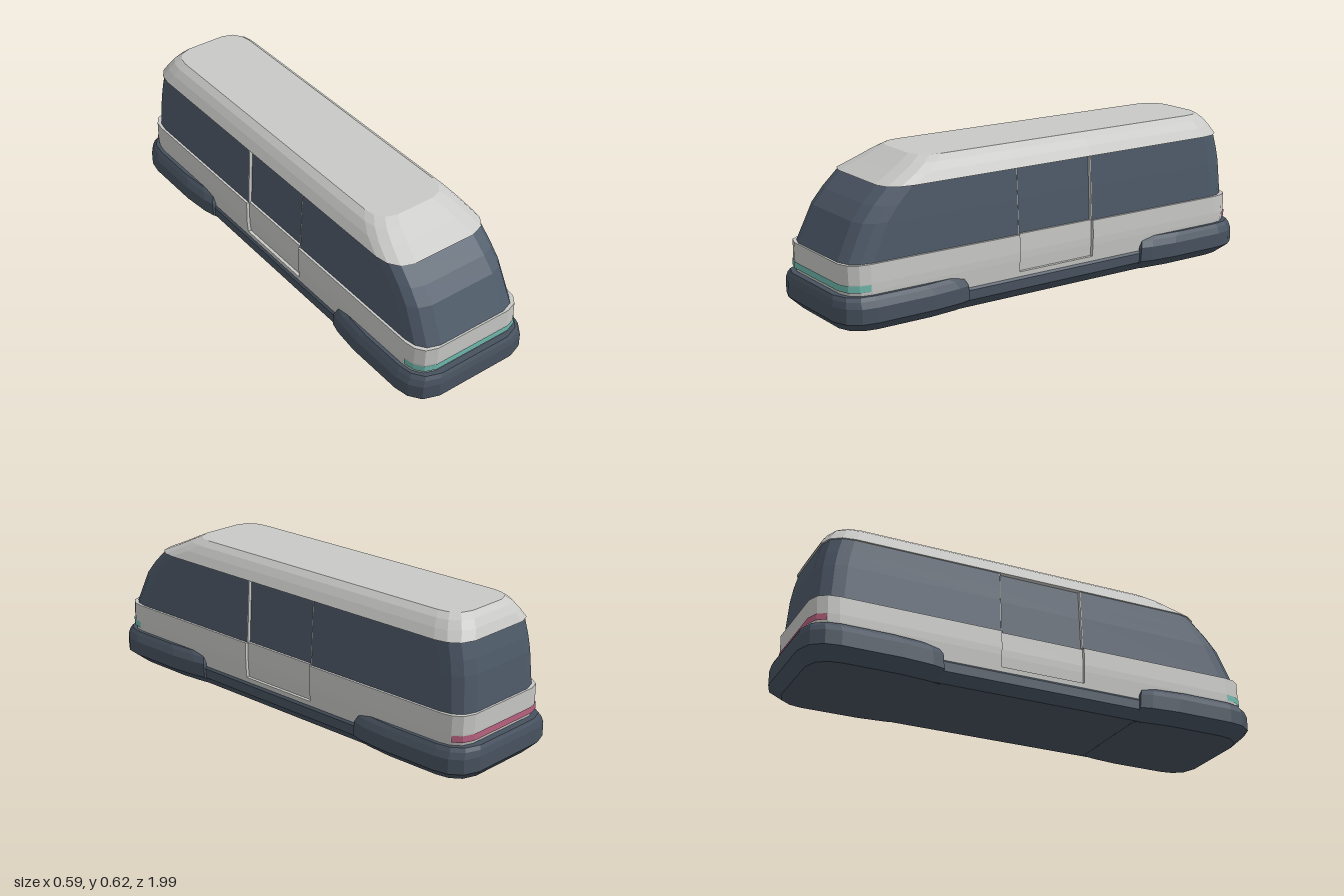
import * as THREE from 'three';

const material = (name, color, side = THREE.FrontSide) =>
  Object.assign(new THREE.MeshStandardMaterial({ color, side }), { name });

// Corner offsets from side to end, as fractions of the corner size
const CORNER = [[0, 1], [0.08, 0.55], [0.33, 0.2], [0.8, 0.03]];
const corner = (w, z, r, s = 1) => CORNER.map(([a, b]) => [w - a * r, z - s * b * r]);
const mirrorX = (pts) => pts.map(([x, z]) => [-x, z]).reverse();

// Skins a stack of horizontal outlines with flat faces
function loft(rings, { bottom = false, top = false, closed = true } = {}) {
  const pos = [];
  const tri = (...pts) => pts.forEach((p) => pos.push(...p));
  const n = rings[0].length;
  for (let k = 0; k < rings.length - 1; k++) {
    const a = rings[k], b = rings[k + 1];
    for (let i = 0; i < (closed ? n : n - 1); i++) {
      const j = (i + 1) % n;
      tri(a[i], b[i], b[j]);
      tri(a[i], b[j], a[j]);
    }
  }
  const cap = (ring, up) => {
    const zs = ring.map((p) => p[2]);
    const c = [0, ring[0][1], (Math.min(...zs) + Math.max(...zs)) / 2];
    for (let i = 0; i < n; i++) {
      const p = ring[i], q = ring[(i + 1) % n];
      if (up) tri(c, q, p); else tri(c, p, q);
    }
  };
  if (bottom) cap(rings[0], false);
  if (top) cap(rings[rings.length - 1], true);
  const g = new THREE.BufferGeometry();
  g.setAttribute('position', new THREE.Float32BufferAttribute(pos, 3));
  g.computeVertexNormals();
  return g;
}

const DOOR = 0.185, RECESS = 0.014;

// Long rounded outline with an optional doorway recess on each side
function hullRing(y, w, zf, zb, r, recess = 0) {
  const half = [
    ...corner(w, zb, r, -1).reverse(),
    [w, -DOOR], [w - recess, -DOOR], [w - recess, DOOR], [w, DOOR],
    ...corner(w, zf, r),
  ];
  return [...half, ...mirrorX(half)].map(([x, z]) => [x, y, z]);
}

// Outline of a bumper, tapering towards its inner end
function bumperRing(y, w, zEnd, zIn, r) {
  const half = [[w - 0.025, zIn], [w - 0.012, zIn + 0.05], [w, zIn + 0.17], ...corner(w, zEnd, r)];
  return [...half, ...mirrorX(half)].map(([x, z]) => [x, y, z]);
}

export function createModel() {
  const shell = material('pale grey shell', 0xc8c8c6);
  const glass = material('dark glass', 0x4e5a69);
  const trim = material('dark trim', 0x47525f);
  const teal = material('teal light', 0x6fb8ad, THREE.DoubleSide);
  const pink = material('pink light', 0xb8617f, THREE.DoubleSide);

  const group = new THREE.Group();
  group.name = 'shuttle';
  const add = (name, geometry, mat) => {
    const mesh = new THREE.Mesh(geometry, mat);
    mesh.name = name;
    group.add(mesh);
    return mesh;
  };

  // Lower body with recessed doors
  add('lowerBody', loft([
    hullRing(0.085, 0.25, 0.95, -0.945, 0.1),
    hullRing(0.11, 0.252, 0.955, -0.95, 0.1),
    hullRing(0.11, 0.252, 0.955, -0.95, 0.1, RECESS),
    hullRing(0.16, 0.256, 0.963, -0.96, 0.1, RECESS),
    hullRing(0.19, 0.257, 0.967, -0.963, 0.1, RECESS),
    hullRing(0.265, 0.255, 0.968, -0.965, 0.1, RECESS),
  ], { bottom: true, top: true }), shell);

  // Wraparound windows, raked at the front
  add('windows', loft([
    hullRing(0.26, 0.245, 0.962, -0.956, 0.11, RECESS),
    hullRing(0.41, 0.238, 0.89, -0.945, 0.11, RECESS),
    hullRing(0.47, 0.234, 0.84, -0.935, 0.11, RECESS),
    hullRing(0.537, 0.23, 0.77, -0.918, 0.11, RECESS),
  ]), glass);

  // Roof shell
  add('roof', loft([
    hullRing(0.535, 0.238, 0.78, -0.926, 0.12),
    hullRing(0.572, 0.216, 0.7, -0.908, 0.12),
    hullRing(0.602, 0.193, 0.64, -0.887, 0.11),
    hullRing(0.623, 0.166, 0.597, -0.864, 0.1),
  ], { bottom: true, top: true }), shell);

  // Pale door jambs across the window band
  for (const side of [-1, 1]) {
    for (const end of [-1, 1]) {
      const jamb = add('doorJamb', new THREE.BoxGeometry(RECESS, 0.272, 0.004), shell);
      jamb.position.set(side * 0.2318, 0.4, end * (DOOR - 0.001));
      jamb.rotation.z = side * Math.atan(0.015 / 0.27);
    }
  }

  // Light strips wrapped around each end
  const strip = (name, pts, mat) => add(name, loft(
    [0.16, 0.187].map((y) => pts.map(([x, z]) => [x, y, z])), { closed: false }), mat);
  const front = corner(0.259, 0.97, 0.1);
  strip('frontLight', [...front, ...mirrorX(front)], teal);
  const back = corner(0.259, -0.966, 0.1, -1).slice(1);
  strip('rearLight', [...back, ...mirrorX(back)], pink);

  // Bumpers at both ends
  const bumper = loft([
    bumperRing(0, 0.24, 0.955, 0.43, 0.12),
    bumperRing(0.045, 0.293, 1, 0.435, 0.14),
    bumperRing(0.105, 0.293, 1, 0.44, 0.14),
    bumperRing(0.13, 0.28, 0.994, 0.452, 0.13),
    bumperRing(0.145, 0.27, 0.987, 0.48, 0.13),
  ], { bottom: true, top: true });
  add('frontBumper', bumper, trim);
  add('rearBumper', bumper, trim).rotation.y = Math.PI;

  // Sill between the bumpers
  const sillRing = (y, w) => [[w, y, -0.5], [w, y, 0.5], [-w, y, 0.5], [-w, y, -0.5]];
  add('sill', loft([
    sillRing(0.001, 0.225), sillRing(0.04, 0.258), sillRing(0.08, 0.258), sillRing(0.092, 0.248),
  ], { bottom: true, top: true }), trim);

  return group;
}
